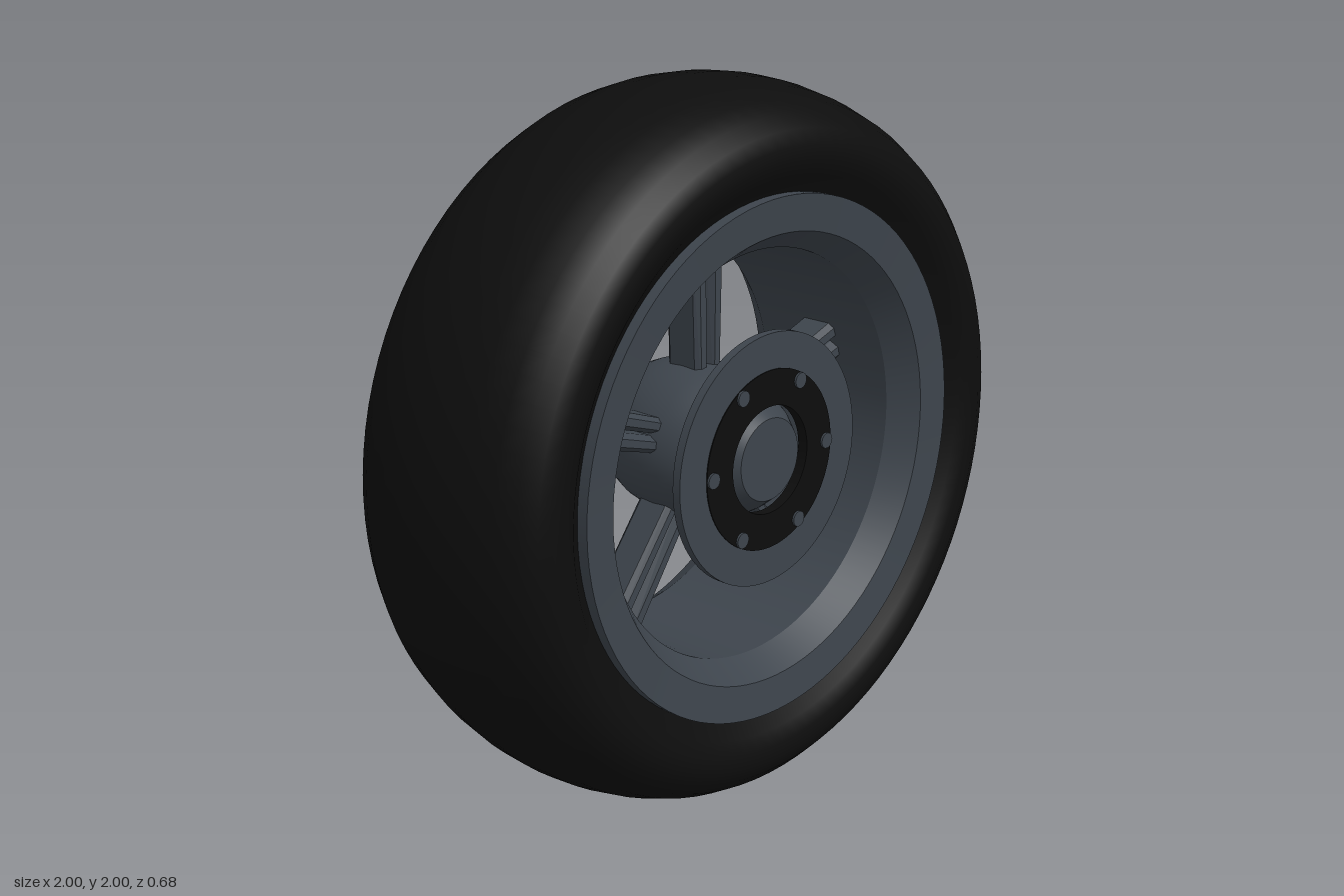
import * as THREE from 'three';
import { toCreasedNormals } from 'three/addons/utils/BufferGeometryUtils.js';

const rubber = new THREE.MeshStandardMaterial({ color: 0x0d0d0d });
rubber.name = 'black rubber';
const metal = new THREE.MeshStandardMaterial({ color: 0x3d444c });
metal.name = 'dark grey metal';

// Revolve [radius, z] points about the z axis, keeping sharp edges above the crease angle
function turned(name, points, material, crease = 0.5, segments = 96) {
  const lathe = new THREE.LatheGeometry(points.map(([r, z]) => new THREE.Vector2(r, z)), segments);
  const mesh = new THREE.Mesh(toCreasedNormals(lathe.rotateX(Math.PI / 2), crease), material);
  mesh.name = name;
  return mesh;
}

// Complete a half profile (z from the back face to the middle) by mirroring it in z
const mirrored = (half) => [...half, ...half.slice(0, -1).reverse().map(([r, z]) => [r, -z])];

// Flat ring with rectangular section
const ring = (name, inner, outer, back, front, material) =>
  turned(name, [[inner, back], [outer, back], [outer, front], [inner, front], [inner, back]], material);

// One chamfered bar of a double spoke, running outwards along +y and widening slightly
function spokeBar(side) {
  const section = [[0.004, -0.035], [0.02, -0.06], [0.045, -0.06], [0.06, -0.045],
    [0.06, 0.045], [0.045, 0.06], [0.02, 0.06], [0.004, 0.035]];
  const shape = new THREE.Shape(section.map(([x, y]) => new THREE.Vector2(side * x, y)));
  const inner = 0.12, outer = 0.58;
  const geometry = new THREE.ExtrudeGeometry(shape, { depth: outer - inner, bevelEnabled: false });
  geometry.rotateX(-Math.PI / 2).translate(0, inner, 0);
  const p = geometry.attributes.position;
  for (let i = 0; i < p.count; i++) {
    const t = (p.getY(i) - inner) / (outer - inner);
    p.setX(i, p.getX(i) * (0.75 + 0.25 * t));
  }
  geometry.computeVertexNormals();
  const mesh = new THREE.Mesh(geometry, metal);
  mesh.name = 'spokeBar';
  return mesh;
}

export function createModel() {
  const wheel = new THREE.Group();
  wheel.name = 'wheel';

  // Tyre with a rounded tread and bulging sidewalls
  wheel.add(turned('tyre', mirrored([
    [0.69, -0.27], [0.73, -0.285], [0.77, -0.32], [0.81, -0.338], [0.85, -0.34], [0.89, -0.322],
    [0.925, -0.287], [0.955, -0.235], [0.98, -0.16], [0.995, -0.08], [1, 0],
  ]), rubber, 1.2));

  // Rim: flat lips, bevels and a straight barrel
  wheel.add(turned('rim', [
    [0.72, -0.315], [0.72, 0.315], [0.62, 0.305], [0.565, 0.225],
    [0.565, -0.225], [0.62, -0.305], [0.72, -0.315],
  ], metal, 0.4));

  // Barrel-shaped hub with flat ends
  wheel.add(turned('hub', mirrored([
    [0, -0.275], [0.115, -0.275], [0.15, -0.23], [0.18, -0.18], [0.205, -0.12], [0.218, -0.06], [0.222, 0],
  ]), metal, 0.6, 64));

  // Five double spokes
  for (let i = 0; i < 5; i++) {
    const spoke = new THREE.Group();
    spoke.name = 'spoke';
    spoke.add(spokeBar(-1), spokeBar(1));
    spoke.rotation.z = (i * Math.PI * 2) / 5;
    wheel.add(spoke);
  }

  // Brake disc with a black carrier and six bolts, on the front
  wheel.add(ring('brakeDisc', 0.245, 0.35, 0.25, 0.275, metal));
  wheel.add(ring('discCarrier', 0.15, 0.25, 0.247, 0.278, rubber));
  for (let i = 0; i < 6; i++) {
    const a = (i * Math.PI) / 3;
    const bolt = new THREE.Mesh(new THREE.CylinderGeometry(0.022, 0.022, 0.044, 16).rotateX(Math.PI / 2), metal);
    bolt.name = 'discBolt';
    bolt.position.set(0.228 * Math.cos(a), 0.228 * Math.sin(a), 0.2625);
    wheel.add(bolt);
  }

  wheel.position.y = 1;
  const model = new THREE.Group();
  model.name = 'spokedWheel';
  model.add(wheel);
  return model;
}
